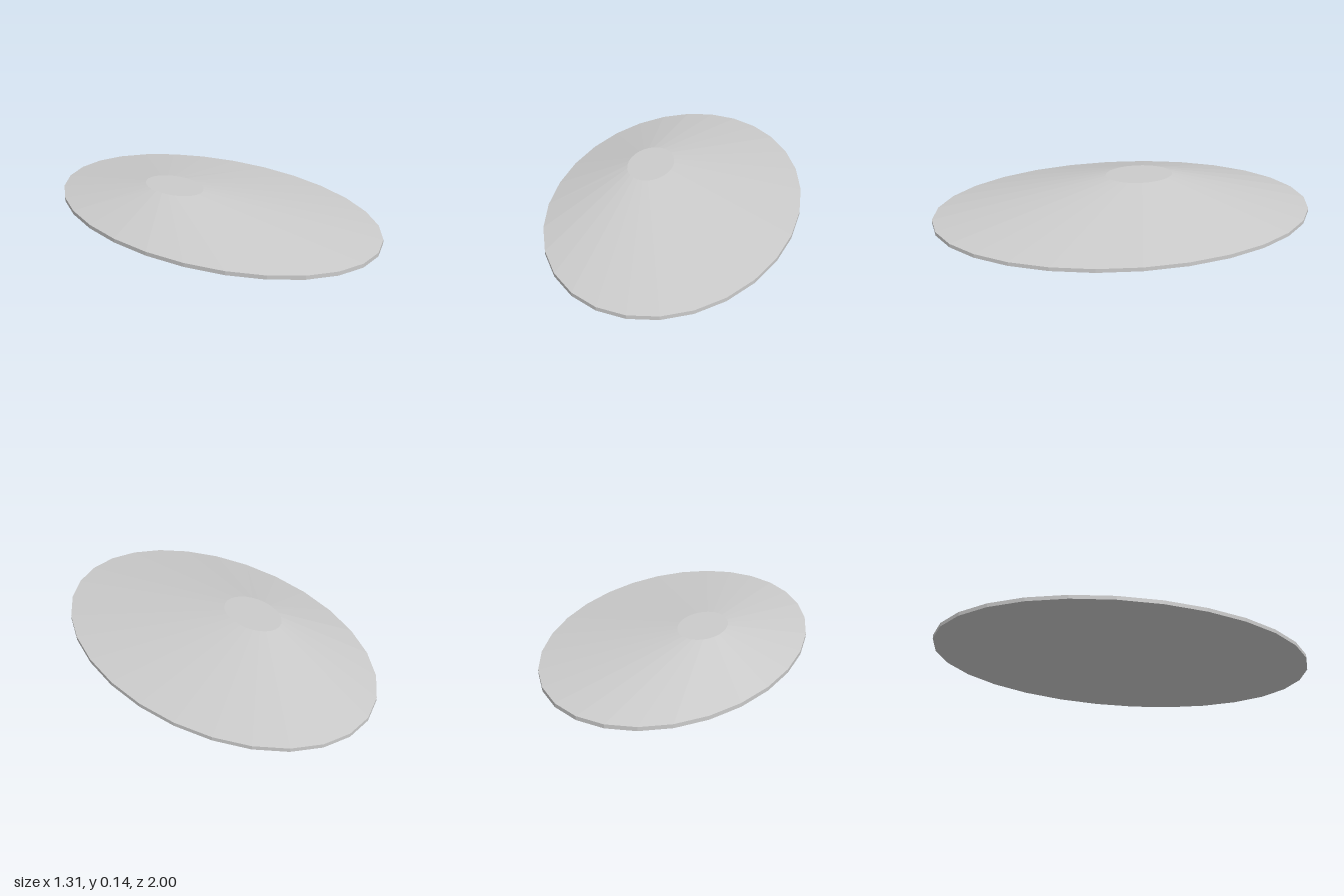
import * as THREE from 'three';

const SIDES = 28;
const RX = 0.655, RZ = 1;            // outer ellipse radii
const RIM = 0.02, TOP = 0.14;        // rim height and plateau height
const PLATEAU = { x: -0.167, z: -0.112, rx: 0.123, rz: 0.183 };

export function createModel() {
  const group = new THREE.Group();
  group.name = 'offsetDome';
  const material = new THREE.MeshStandardMaterial({ color: 0xcccccc, flatShading: true });
  const add = (name, geometry) => {
    const mesh = new THREE.Mesh(geometry, material);
    mesh.name = name;
    group.add(mesh);
  };

  // thin vertical rim
  add('rim', new THREE.CylinderGeometry(1, 1, RIM, SIDES, 1, true)
    .scale(RX, 1, RZ).translate(0, RIM / 2, 0));

  // flat underside
  add('base', new THREE.CircleGeometry(1, SIDES, Math.PI / 2)
    .rotateX(Math.PI / 2).scale(RX, 1, RZ));

  // slope: an elliptical band whose upper edge is shrunk and shifted off centre
  const slope = new THREE.CylinderGeometry(1, 1, TOP - RIM, SIDES, 1, true)
    .translate(0, (TOP + RIM) / 2, 0);
  const p = slope.attributes.position;
  for (let i = 0; i < p.count; i++) {
    const x = p.getX(i), y = p.getY(i), z = p.getZ(i);
    if (y > (TOP + RIM) / 2) p.setXYZ(i, PLATEAU.x + x * PLATEAU.rx, y, PLATEAU.z + z * PLATEAU.rz);
    else p.setXYZ(i, x * RX, y, z * RZ);
  }
  slope.computeVertexNormals();
  add('slope', slope);

  // flat plateau closing the slope
  add('plateau', new THREE.CircleGeometry(1, SIDES, Math.PI / 2)
    .rotateX(-Math.PI / 2).scale(PLATEAU.rx, 1, PLATEAU.rz)
    .translate(PLATEAU.x, TOP, PLATEAU.z));

  return group;
}
